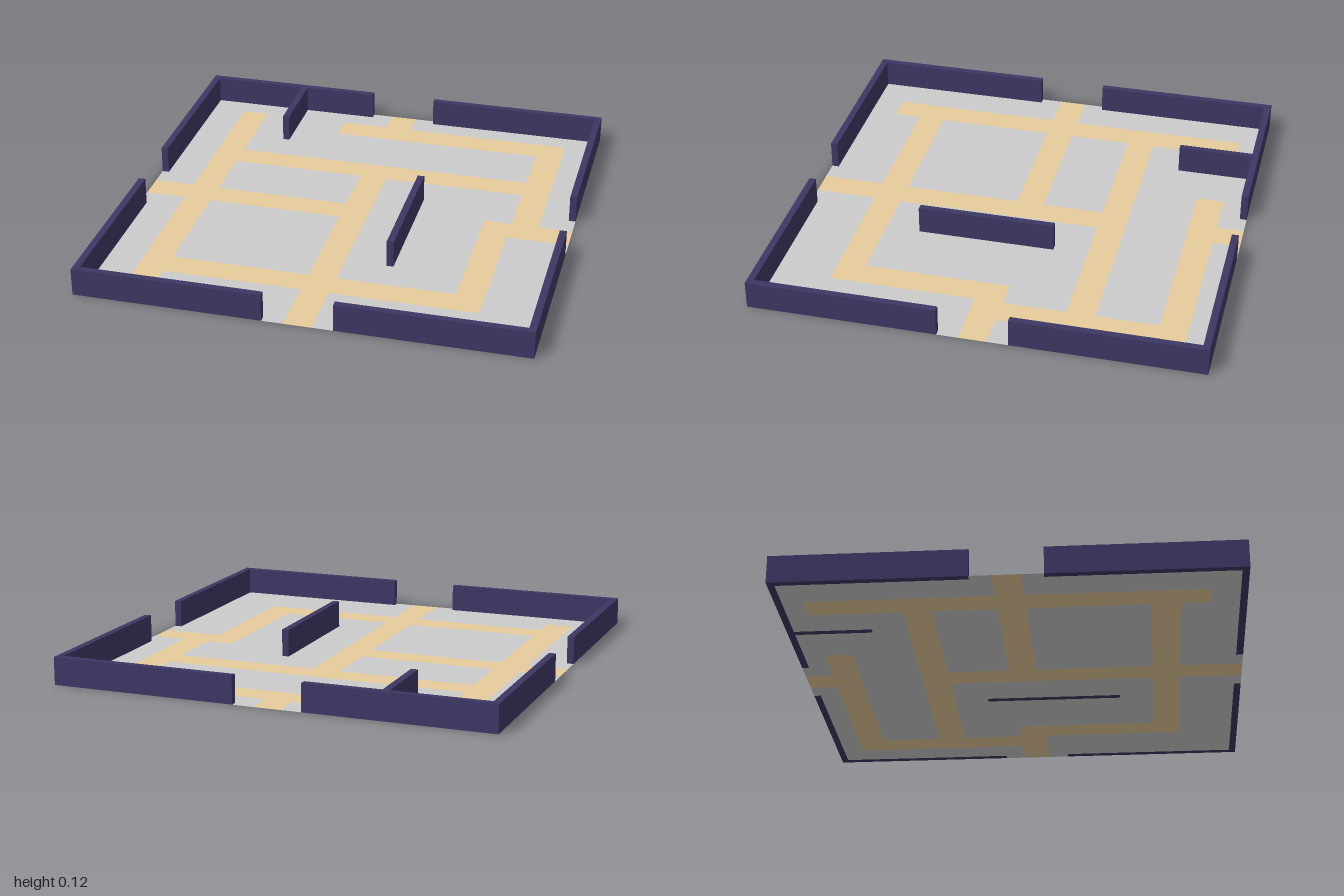
import * as THREE from 'three';
import { mergeGeometries } from 'three/addons/utils/BufferGeometryUtils.js';

const U = 1 / 32; // plan unit; all rectangles are [x0, x1, z0, z1] in these units
const WALL_HEIGHT = 4 * U;

// Walkways laid into the floor
const paths = [
  [-26, -22, -28, 27], // left lane
  [-2, 2, -15, 32],    // centre lane to the front gate
  [-2, 2, -32, -24],   // back gate
  [-9, 27, -28, -24],  // back lane
  [23, 27, -28, 2],    // right lane, back half
  [19, 23, -2, 23],    // right lane, front half
  [-26, 27, -15, -11], // cross lane
  [-32, 2, -2, 2],     // gate lane at -x
  [19, 32, -2, 2],     // gate lane at +x
  [-26, 23, 19, 23],   // front lane
];

// Each side has a gate gap in the middle
const walls = {
  innerWallBack: [-17, -16, -31, -20],
  innerWallCentre: [8, 9, -6, 14],
};
for (const [sx, sideX] of [[-1, 'Right'], [1, 'Left']]) {
  for (const [sz, sideZ] of [[-1, 'Back'], [1, 'Front']]) {
    const span = (s, a, b) => (s > 0 ? [a, b] : [-b, -a]);
    walls[`endWall${sideZ}${sideX}`] = [...span(sx, 5, 32), ...span(sz, 31, 32)];
    walls[`sideWall${sideZ}${sideX}`] = [...span(sx, 31, 32), ...span(sz, 5, 31)];
  }
}

const inside = (list, x, z) => list.some(([a, b, c, d]) => x > a && x < b && z > c && z < d);

function tile(x0, x1, z0, z1) {
  return new THREE.PlaneGeometry((x1 - x0) * U, (z1 - z0) * U)
    .rotateX(-Math.PI / 2)
    .translate((x0 + x1) / 2 * U, 0, (z0 + z1) / 2 * U);
}

export function createModel() {
  const model = new THREE.Group();
  model.name = 'walledCourtyard';

  const groundMat = new THREE.MeshStandardMaterial({ color: 0xcccccc, side: THREE.DoubleSide });
  const pathMat = new THREE.MeshStandardMaterial({ color: 0xe6cc9c, side: THREE.DoubleSide });
  const wallMat = new THREE.MeshStandardMaterial({ color: 0x3d3763 });

  // Floor sheet: split along every plan edge, sorted into ground and path tiles
  const wallRects = Object.values(walls);
  const rects = [[-32, 32, -32, 32], ...paths, ...wallRects];
  const cuts = (i) => [...new Set(rects.flatMap((r) => [r[i], r[i + 1]]))].sort((a, b) => a - b);
  const xs = cuts(0), zs = cuts(2);
  const ground = [], path = [];
  for (let i = 0; i + 1 < xs.length; i++) {
    for (let j = 0; j + 1 < zs.length; j++) {
      const mx = (xs[i] + xs[i + 1]) / 2, mz = (zs[j] + zs[j + 1]) / 2;
      if (inside(wallRects, mx, mz)) continue; // walls stand through the floor
      (inside(paths, mx, mz) ? path : ground).push(tile(xs[i], xs[i + 1], zs[j], zs[j + 1]));
    }
  }
  const groundMesh = new THREE.Mesh(mergeGeometries(ground), groundMat);
  groundMesh.name = 'ground';
  const pathMesh = new THREE.Mesh(mergeGeometries(path), pathMat);
  pathMesh.name = 'walkways';
  model.add(groundMesh, pathMesh);

  // Outer and inner walls
  for (const [name, [x0, x1, z0, z1]] of Object.entries(walls)) {
    const wall = new THREE.Mesh(
      new THREE.BoxGeometry((x1 - x0) * U, WALL_HEIGHT, (z1 - z0) * U), wallMat);
    wall.position.set((x0 + x1) / 2 * U, WALL_HEIGHT / 2, (z0 + z1) / 2 * U);
    wall.name = name;
    model.add(wall);
  }
  return model;
}
